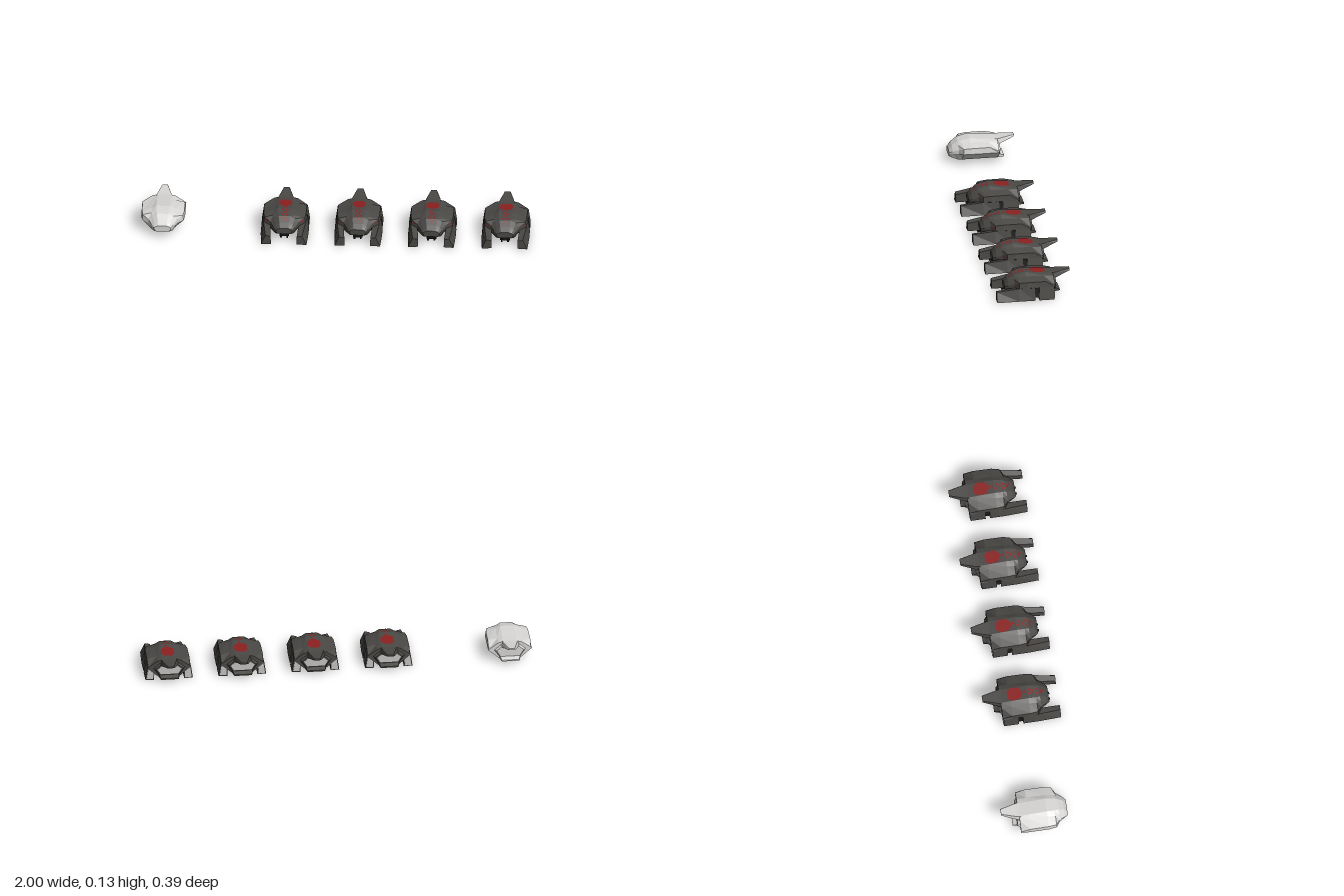
import * as THREE from 'three';

const mat = (name, color, double) => {
  const m = new THREE.MeshStandardMaterial({ color, flatShading: true });
  m.name = name;
  if (double) m.side = THREE.DoubleSide;
  return m;
};
const M = {
  dark: mat('charcoal armour', 0x4a4845),
  pale: mat('pale hull', 0xd6d5d3),
  light: mat('light engine panel', 0xc4c3c1),
  black: mat('black machinery', 0x181818),
  red: mat('red paint', 0x8c2020, true),
};

// Skin between closed rings; each station is { z, ring } ordered back to front,
// rings run counter-clockwise seen from the front.
function loft(stations) {
  const pos = [];
  const P = (i, j) => {
    const s = stations[i], p = s.ring[j % s.ring.length];
    return [p[0], p[1], s.z];
  };
  const n = stations[0].ring.length, last = stations.length - 1;
  for (let i = 0; i < last; i++)
    for (let j = 0; j < n; j++) {
      const a = P(i, j), b = P(i, j + 1), c = P(i + 1, j + 1), d = P(i + 1, j);
      pos.push(...a, ...b, ...c, ...a, ...c, ...d);
    }
  for (const i of [0, last]) {
    const mid = [0, 0, stations[i].z];
    for (const p of stations[i].ring) { mid[0] += p[0] / n; mid[1] += p[1] / n; }
    for (let j = 0; j < n; j++)
      pos.push(...mid, ...(i ? P(i, j) : P(i, j + 1)), ...(i ? P(i, j + 1) : P(i, j)));
  }
  const g = new THREE.BufferGeometry();
  g.setAttribute('position', new THREE.Float32BufferAttribute(pos, 3));
  g.computeVertexNormals();
  return g;
}

const mirrorRing = (r) => r.map(([x, y]) => [-x, y]).reverse();
const symmetric = (z, half) => ({ z, ring: [...half, ...mirrorRing(half)] });

function add(group, name, geometry, material) {
  const mesh = new THREE.Mesh(geometry, material);
  mesh.name = name;
  group.add(mesh);
  return mesh;
}
function box(group, name, material, x, y, z, w, h, d) {
  add(group, name, new THREE.BoxGeometry(w, h, d), material).position.set(x, y, z);
}

// Half cross-sections from belly edge up to roof edge
const hullGeo = loft([
  symmetric(-0.105, [[0.055, 0.02], [0.113, 0.07], [0.108, 0.076], [0.06, 0.11], [0.035, 0.116]]),
  symmetric(-0.055, [[0.055, 0.02], [0.113, 0.07], [0.11, 0.101], [0.06, 0.112], [0.035, 0.12]]),
  symmetric(0.04, [[0.055, 0.02], [0.113, 0.07], [0.109, 0.1], [0.06, 0.115], [0.035, 0.128]]),
  symmetric(0.08, [[0.055, 0.02], [0.107, 0.068], [0.103, 0.096], [0.058, 0.108], [0.033, 0.119]]),
  symmetric(0.1, [[0.052, 0.02], [0.076, 0.06], [0.074, 0.08], [0.052, 0.1], [0.03, 0.114]]),
  symmetric(0.13, [[0.045, 0.03], [0.056, 0.055], [0.056, 0.067], [0.044, 0.08], [0.025, 0.092]]),
  symmetric(0.147, [[0.033, 0.036], [0.042, 0.048], [0.042, 0.057], [0.034, 0.063], [0.02, 0.068]]),
]);

// Tail blade, narrowing and rising to the back
const tailGeo = loft([
  symmetric(-0.196, [[0.018, 0.116], [0.014, 0.124]]),
  symmetric(-0.117, [[0.043, 0.09], [0.036, 0.117]]),
  symmetric(-0.095, [[0.052, 0.085], [0.04, 0.1165]]),
]);

// Recessed engine block and the lip under it
const engineGeo = loft([
  symmetric(-0.117, [[0.05, 0.036], [0.07, 0.07], [0.045, 0.092]]),
  symmetric(-0.1, [[0.055, 0.025], [0.085, 0.07], [0.05, 0.1]]),
]);
const lipGeo = loft([
  symmetric(-0.14, [[0.045, 0.019], [0.045, 0.026]]),
  symmetric(-0.1, [[0.055, 0.019], [0.055, 0.042]]),
]);
const panelGeo = loft([
  symmetric(-0.119, [[0.045, 0.041], [0.062, 0.069], [0.041, 0.087]]),
  symmetric(-0.116, [[0.045, 0.041], [0.062, 0.069], [0.041, 0.087]]),
]);

// Side pods flare outward toward the bottom and taper to the front
const podBack = [[0.078, 0], [0.123, 0.003], [0.113, 0.07], [0.076, 0.066]];
const podMid = [[0.076, 0], [0.123, 0.003], [0.108, 0.068], [0.073, 0.062]];
const podTip = [[0.066, 0.003], [0.117, 0], [0.094, 0.051], [0.067, 0.046]];
const podParts = [
  ['podRear', 'dark', [[-0.1, podBack], [-0.022, podBack]]],
  ['podFront', 'dark', [[0, podBack], [0.083, podMid], [0.197, podTip]]],
  ['podJoint', 'black', [-0.024, 0.002].map((z) => [z, [[0.08, 0.016], [0.114, 0.016], [0.108, 0.068], [0.08, 0.064]]])],
  ['podExhaust', 'light', [-0.103, -0.099].map((z) => [z, [[0.083, 0.006], [0.117, 0.008], [0.109, 0.063], [0.081, 0.058]]])],
];

// Height of the roof ridge at z, for draped paint
const ridge = [[-0.105, 0.116], [0.04, 0.128], [0.08, 0.119], [0.1, 0.114], [0.13, 0.092], [0.147, 0.068]];
function roofY(z) {
  let i = 0;
  while (i < ridge.length - 2 && z > ridge[i + 1][0]) i++;
  const [a, b] = [ridge[i], ridge[i + 1]];
  return a[1] + ((b[1] - a[1]) * (z - a[0])) / (b[0] - a[0]) + 0.0012;
}
function roofPaint(points) {
  const g = new THREE.ShapeGeometry(new THREE.Shape(points.map(([x, z]) => new THREE.Vector2(x, -z))));
  const p = g.attributes.position;
  for (let i = 0; i < p.count; i++) {
    const z = -p.getY(i);
    p.setXYZ(i, p.getX(i), roofY(z), z);
  }
  g.computeVertexNormals();
  return g;
}
const badgeGeo = roofPaint([[-0.02, -0.067], [0.02, -0.067], [0.035, -0.045], [0.034, -0.01],
  [0.012, 0.012], [-0.008, 0.012], [-0.03, -0.003], [-0.034, -0.045]]);

// Irregular paint chips [x, z, width, length] down the nose
const chips = [[0.004, 0.024, 0.012, 0.014], [-0.009, 0.047, 0.01, 0.018], [0.012, 0.053, 0.016, 0.012],
  [0.002, 0.069, 0.022, 0.008], [-0.011, 0.089, 0.012, 0.012], [0.012, 0.09, 0.012, 0.014],
  [0, 0.107, 0.018, 0.008], [0.01, 0.12, 0.008, 0.01]];

function addHull(ship, material) {
  add(ship, 'hull', hullGeo, material);
  add(ship, 'tailBlade', tailGeo, material);
  add(ship, 'engineBlock', engineGeo, material);
  add(ship, 'rearLip', lipGeo, material);
}

function paleShip() {
  const ship = new THREE.Group();
  ship.name = 'paleShip';
  addHull(ship, M.pale);
  box(ship, 'bellyPlate', M.pale, 0, 0.021, 0.01, 0.06, 0.006, 0.17);
  return ship;
}

function darkShip() {
  const ship = new THREE.Group();
  ship.name = 'darkShip';
  addHull(ship, M.dark);
  add(ship, 'enginePanel', panelGeo, M.light);
  add(ship, 'roofBadge', badgeGeo, M.red);
  for (const [x, z, w, l] of chips)
    add(ship, 'paintChip', roofPaint([[x - w / 2, z - l / 2], [x + w / 2, z - l / 2],
      [x + w / 3, z + l / 2], [x - w / 2, z + l / 2]]), M.red);
  // Belly machinery
  box(ship, 'keel', M.dark, 0, 0.02, 0.005, 0.07, 0.012, 0.2);
  box(ship, 'chinMount', M.black, 0, 0.024, 0.115, 0.05, 0.014, 0.04);
  for (const side of [1, -1]) {
    box(ship, 'chinBarrel', M.black, side * 0.016, 0.022, 0.135, 0.009, 0.009, 0.04);
    box(ship, 'podStrut', M.black, side * 0.075, 0.05, -0.011, 0.05, 0.022, 0.02);
    for (const [name, colour, rings] of podParts)
      add(ship, name, loft(rings.map(([z, r]) => ({ z, ring: side > 0 ? r : mirrorRing(r) }))), M[colour]);
    // Red flash on the front of each shoulder
    const flash = new THREE.BufferGeometry();
    flash.setAttribute('position', new THREE.Float32BufferAttribute([
      side * 0.098, 0.076, 0.0865, side * 0.095, 0.089, 0.0865, side * 0.083, 0.081, 0.0965], 3));
    flash.computeVertexNormals();
    add(ship, 'shoulderFlash', flash, M.red);
  }
  return ship;
}

export function createModel() {
  const model = new THREE.Group();
  model.name = 'shipLineup';
  const pale = paleShip();
  pale.position.x = -0.887;
  model.add(pale);
  for (let i = 0; i < 4; i++) {
    const ship = darkShip();
    ship.position.x = -0.26 + i * 0.379;
    model.add(ship);
  }
  return model;
}
